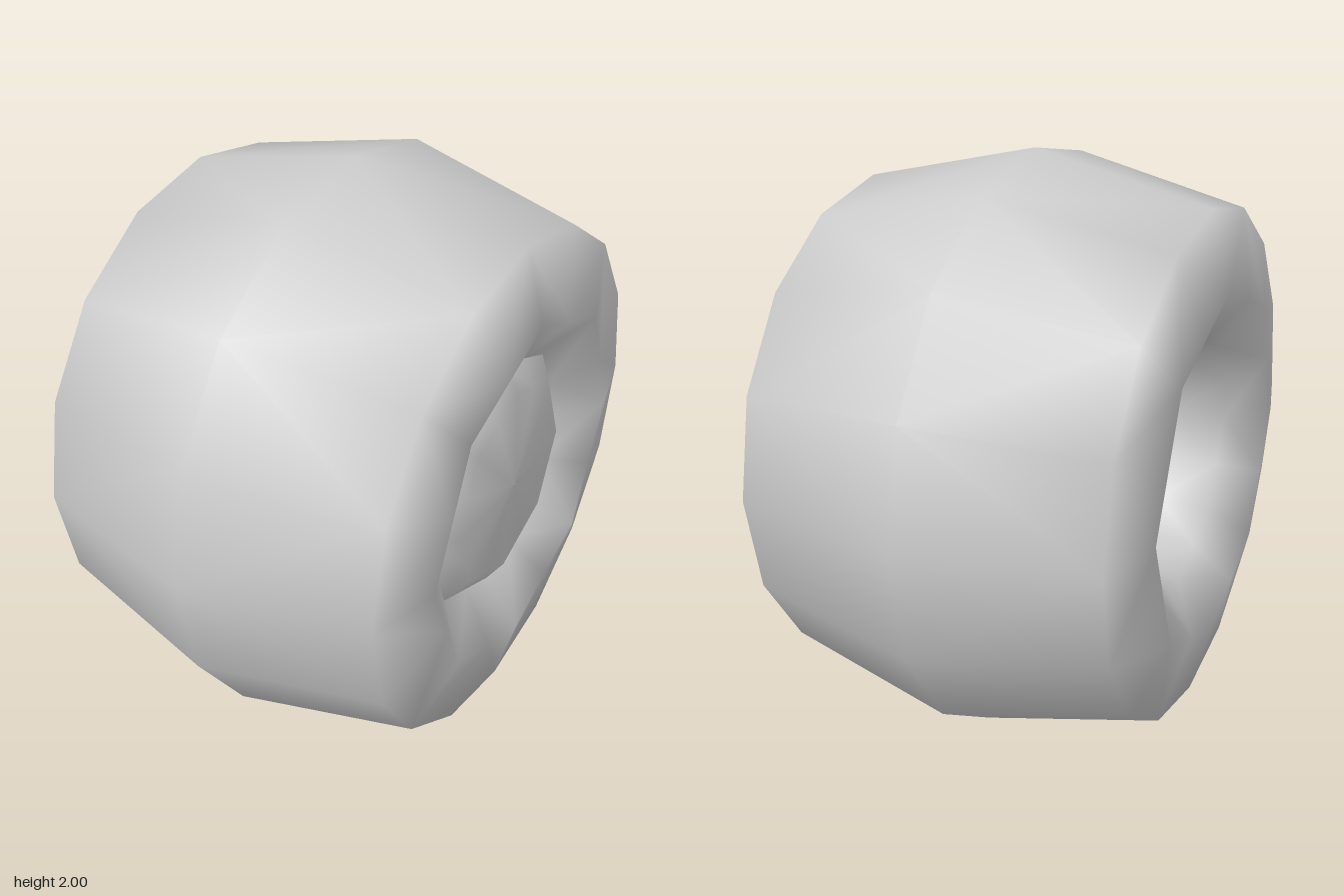
import * as THREE from 'three';

const SIDES = 16;

// Skin a list of rings [x, radius, octagonal] running from +x to -x around the axle.
// Octagonal rings keep every second point on the middle of a straight edge.
function skinRings(rings) {
  const pos = [], index = [];
  for (const [x, r, octagonal] of rings) {
    for (let j = 0; j < SIDES; j++) {
      const t = (j / SIDES) * Math.PI * 2;
      const k = octagonal && j % 2 ? r * Math.cos(Math.PI / 8) : r;
      pos.push(x, k * Math.cos(t), k * Math.sin(t));
    }
  }
  for (let i = 0; i < rings.length - 1; i++) {
    for (let j = 0; j < SIDES; j++) {
      const n = (j + 1) % SIDES;
      const a = i * SIDES + j, b = i * SIDES + n;
      const c = a + SIDES, d = b + SIDES;
      // alternate the diagonal so the 16-to-8 transitions are symmetric
      if (j % 2) index.push(a, c, d, a, d, b);
      else index.push(a, c, b, b, c, d);
    }
  }
  const geo = new THREE.BufferGeometry();
  geo.setAttribute('position', new THREE.Float32BufferAttribute(pos, 3));
  geo.setIndex(index);
  geo.computeVertexNormals();
  return geo;
}

export function createModel() {
  const group = new THREE.Group();
  group.name = 'wheel';
  const material = new THREE.MeshStandardMaterial({ color: 0xcccccc, side: THREE.DoubleSide });

  const add = (name, rings) => {
    const mesh = new THREE.Mesh(skinRings(rings), material);
    mesh.name = name;
    mesh.position.y = 1;
    group.add(mesh);
  };

  // Tyre: recess, lip, shoulder, ridged tread, then the open inner side
  add('tyre', [
    [0.545, 0.44, true],
    [0.67, 0.61, true],
    [0.605, 0.86, false],
    [0, 1, false],
    [-0.605, 0.86, false],
    [-0.67, 0.61, true],
    [-0.545, 0.44, true],
    [-0.36, 0.41, true],
  ]);

  // Hub cap: low raised disc closing the outer side
  add('hubCap', [
    [0.62, 0.001, true],
    [0.605, 0.35, true],
    [0.545, 0.44, true],
  ]);

  return group;
}
